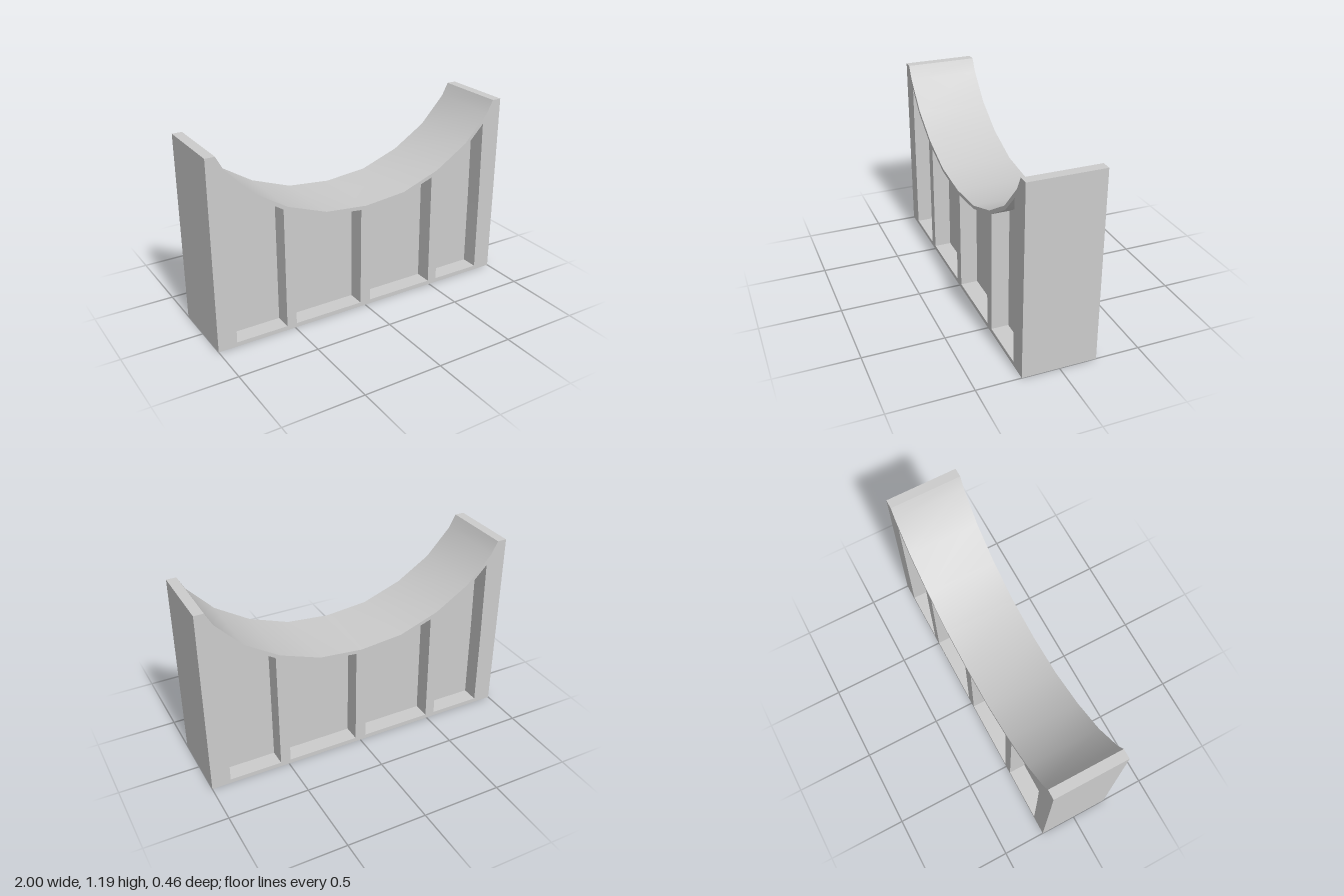
import * as THREE from 'three';
import { toCreasedNormals } from 'three/addons/utils/BufferGeometryUtils.js';

const DEPTH = 0.457;      // full thickness of the cradle
const RECESS = 0.108;     // depth of the pockets on each face
const SMOOTH = 0.5;       // crease angle for the saddle curve

const material = new THREE.MeshStandardMaterial({ color: 0xcccccc });

const points = (list) => list.map(([x, y]) => new THREE.Vector2(x, y));
const mirror = (list) => list.map(([x, y]) => [-x, y]).reverse();

// Right half of the outline, from the saddle's low point out to the foot
const saddle = [[0.273, 0.711], [0.524, 0.802], [0.738, 0.936], [0.898, 1.107], [0.94, 1.187]];
const half = [...saddle, [1, 1.187], [1, 0]];

// Pocket outlines on the +x side, counter-clockwise
const innerPocket = [[0.035, 0.027], [0.49, 0.027], [0.483, 0.762], [0.273, 0.69], [0.035, 0.665]];
const outerPocket = [[0.553, 0.027], [0.882, 0.027], [0.879, 0.53], [0.871, 1.043], [0.749, 0.916], [0.553, 0.793]];
const pockets = [innerPocket, outerPocket, mirror(innerPocket), mirror(outerPocket)];

export function createModel() {
  const group = new THREE.Group();
  group.name = 'cradleSupport';

  // Body: saddle-topped block pierced by the four pockets
  const outline = new THREE.Shape(points([[0, 0.685], ...half, ...mirror(half)]));
  outline.holes = pockets.map((p) => new THREE.Path(points(p)));
  const bodyGeometry = new THREE.ExtrudeGeometry(outline, { depth: DEPTH, bevelEnabled: false });
  bodyGeometry.translate(0, 0, -DEPTH / 2);
  const body = new THREE.Mesh(toCreasedNormals(bodyGeometry, SMOOTH), material);
  body.name = 'ribbedBody';
  group.add(body);

  // Web: flat floor of each pocket, front and back
  const web = new THREE.Group();
  web.name = 'centralWeb';
  for (const pocket of pockets) {
    const floor = new THREE.ShapeGeometry(new THREE.Shape(points(pocket)));
    for (const side of [1, -1]) {
      const panel = new THREE.Mesh(floor, material);
      panel.name = side > 0 ? 'frontPanel' : 'backPanel';
      // The pocket set is symmetric, so a half turn places the back floors
      panel.rotation.y = side > 0 ? 0 : Math.PI;
      panel.position.z = side * (DEPTH / 2 - RECESS);
      web.add(panel);
    }
  }
  group.add(web);

  return group;
}
